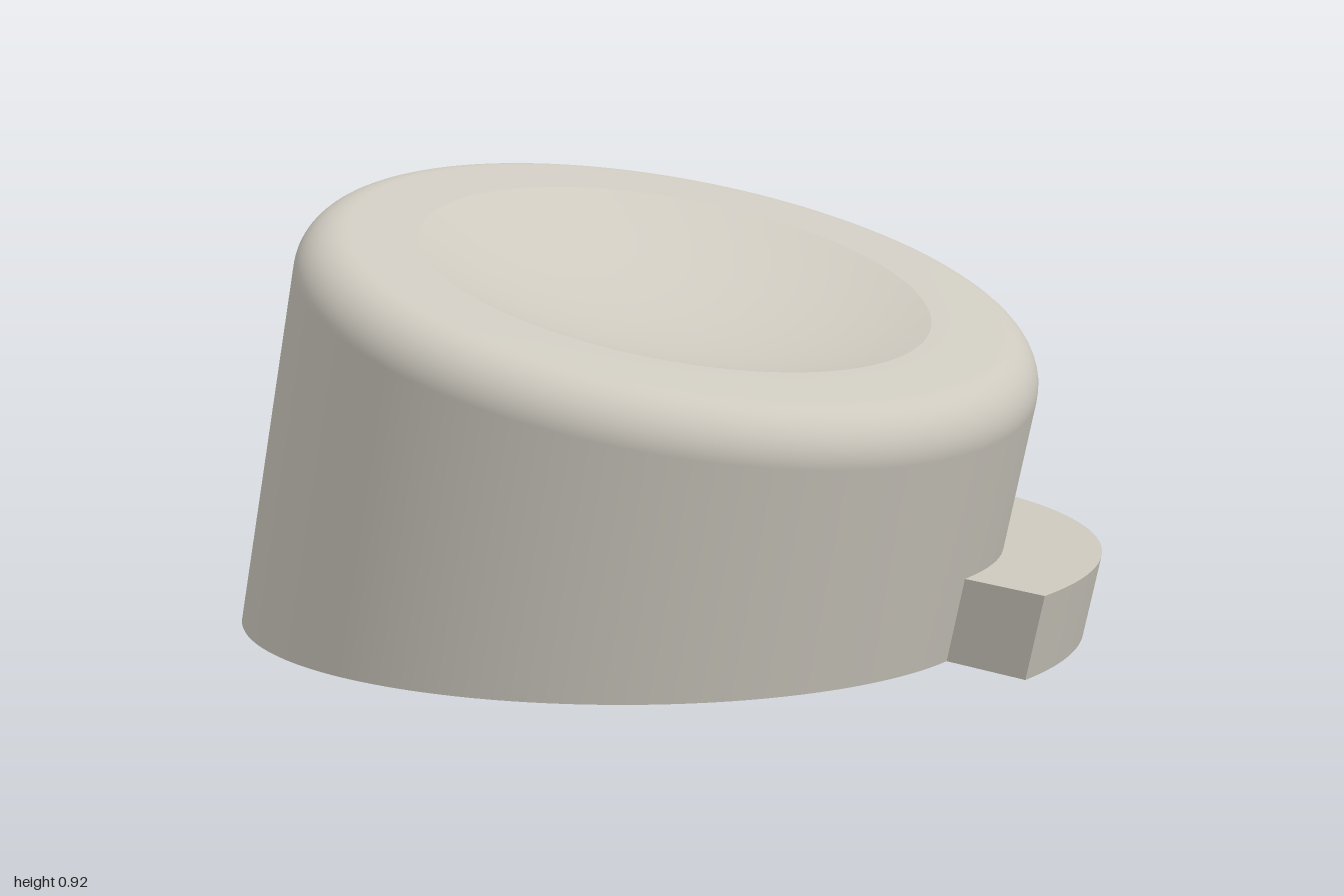
import * as THREE from 'three';
import { toCreasedNormals } from 'three/addons/utils/BufferGeometryUtils.js';

const TILT = Math.PI / 12;      // lean of the button axis towards the front
const R = 0.77;                 // body radius
const H = 0.769;                // body height along its axis
const FILLET = 0.1;
const DISH_R = 0.53, DISH_DEPTH = 0.1;
const FLANGE_R = 0.968, FLANGE_H = 0.175;
const SEG = 128;

export function createModel() {
  const grey = new THREE.MeshStandardMaterial({ color: 0xcdc9bf });
  grey.name = 'warm grey';

  const group = new THREE.Group();
  group.name = 'button';
  const add = (name, geometry) => {
    const mesh = new THREE.Mesh(geometry, grey);
    mesh.name = name;
    group.add(mesh);
    return mesh;
  };

  // Body: wall, rounded rim and flat top ring, its foot cut level with the ground
  const profile = [new THREE.Vector2(R, 0)];
  for (let i = 0; i <= 12; i++) {
    const a = (i / 12) * Math.PI / 2;
    profile.push(new THREE.Vector2(R - FILLET + FILLET * Math.cos(a), H - FILLET + FILLET * Math.sin(a)));
  }
  profile.push(new THREE.Vector2(DISH_R, H));
  const bodyGeo = new THREE.LatheGeometry(profile, SEG);
  const pos = bodyGeo.attributes.position;
  for (let i = 0; i < pos.count; i++) {
    if (Math.abs(pos.getY(i)) < 1e-6) pos.setY(i, pos.getZ(i) * Math.tan(TILT));
  }
  add('body', bodyGeo).rotation.x = TILT;

  // Dish: shallow spherical hollow in the top
  const sphereR = (DISH_R ** 2 + DISH_DEPTH ** 2) / (2 * DISH_DEPTH);
  const edge = Math.asin(DISH_R / sphereR);
  const dish = [];
  for (let i = 0; i <= 16; i++) {
    const a = edge * (1 - i / 16);
    dish.push(new THREE.Vector2(sphereR * Math.sin(a), H - DISH_DEPTH + sphereR * (1 - Math.cos(a))));
  }
  add('dish', new THREE.LatheGeometry(dish, SEG)).rotation.x = TILT;

  // Underside: the level oval foot of the leaning body
  const base = new THREE.CircleGeometry(R, SEG);
  base.rotateX(Math.PI / 2);
  base.scale(1, 1, 1 / Math.cos(TILT));
  add('underside', base);

  // Flange: partial ring on the left side, leaning with the body
  const cut = 0.22, innerR = R - 0.01;
  const outerA = Math.acos(cut / FLANGE_R), innerA = Math.acos(cut / innerR);
  const shape = new THREE.Shape();
  shape.absarc(0, 0, FLANGE_R, -outerA, outerA, false);
  shape.absarc(0, 0, innerR, innerA, -innerA, true);
  shape.closePath();
  let flange = new THREE.ExtrudeGeometry(shape, { depth: FLANGE_H, bevelEnabled: false, curveSegments: 80 });
  flange.rotateX(-Math.PI / 2);
  flange.applyMatrix4(new THREE.Matrix4().set(
    1, 0, 0, 0,
    0, 1, 0, 0,
    0, Math.tan(TILT), 1 / Math.cos(TILT), 0,
    0, 0, 0, 1));
  flange = toCreasedNormals(flange, Math.PI / 6);
  add('flange', flange);

  group.position.set(-0.1, 0, -0.0235);
  const root = new THREE.Group();
  root.name = 'model';
  root.add(group);
  return root;
}
